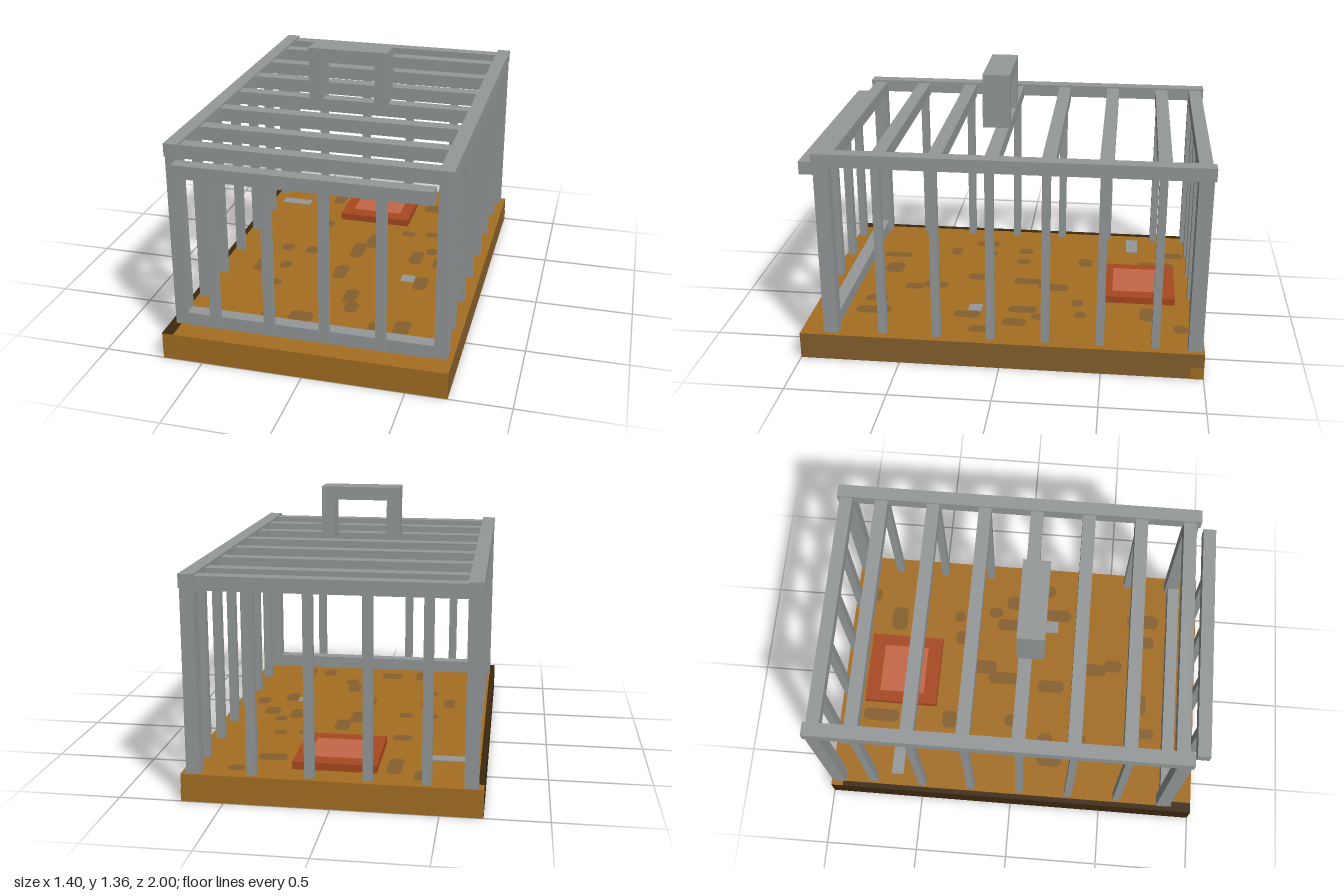
import * as THREE from 'three';

const mat = (name, color) => {
  const m = new THREE.MeshStandardMaterial({ color });
  m.name = name;
  return m;
};

export function createModel() {
  const root = new THREE.Group();
  root.name = 'cage';
  const metal = mat('greyMetal', 0x959999);
  const wood = mat('ochreWood', 0xa46e22);
  const brown = mat('brownWood', 0x86602d);
  const dark = mat('darkWood', 0x3c280e);
  const red = mat('redDish', 0xa8481f);
  const pale = mat('paleRedFood', 0xc56747);

  // Box given by its minimum and maximum on each axis
  const box = (name, material, x0, x1, y0, y1, z0, z1, parent = root) => {
    const mesh = new THREE.Mesh(new THREE.BoxGeometry(x1 - x0, y1 - y0, z1 - z0), material);
    mesh.position.set((x0 + x1) / 2, (y0 + y1) / 2, (z0 + z1) / 2);
    mesh.name = name;
    parent.add(mesh);
    return mesh;
  };
  const group = (name) => {
    const g = new THREE.Group();
    g.name = name;
    root.add(g);
    return g;
  };

  const F = 0.135; // floor height

  // Tray: side faces in different wood tones
  box('trayBase', [brown, dark, wood, dark, wood, wood], -0.7, 0.7, 0, F, -1, 1);
  box('trayDarkEdge', dark, -0.7, -0.673, F, F + 0.003, -0.935, 1);
  box('trayDarkCorner', dark, -0.673, -0.645, F, F + 0.003, 0.895, 1);
  box('traySidePatch', wood, 0.7, 0.702, 0, 0.06, -1, -0.935);

  // Floor litter: thin blotches with clipped corners [x, z, width, depth]
  const litter = group('floorLitter');
  const blotches = [
    [-0.41, -0.87, 0.07, 0.12], [-0.275, -0.77, 0.07, 0.2], [0.32, -0.73, 0.14, 0.09],
    [0.46, -0.89, 0.08, 0.07], [-0.27, -0.38, 0.1, 0.08], [0.23, -0.36, 0.08, 0.06],
    [0.36, -0.38, 0.07, 0.06], [-0.39, -0.03, 0.07, 0.08], [-0.25, -0.03, 0.07, 0.08],
    [0, -0.09, 0.07, 0.18], [0.06, -0.22, 0.08, 0.16], [0.33, -0.08, 0.07, 0.15],
    [0.47, -0.05, 0.08, 0.12], [0.4, -0.17, 0.06, 0.08], [-0.47, 0.2, 0.06, 0.14],
    [-0.34, 0.17, 0.06, 0.08], [-0.03, 0.18, 0.07, 0.15], [0.56, 0.12, 0.07, 0.1],
    [0.41, 0.2, 0.07, 0.14], [-0.35, 0.37, 0.1, 0.06], [0.09, 0.42, 0.07, 0.14],
    [0.12, 0.53, 0.07, 0.1], [-0.27, 0.7, 0.06, 0.16], [-0.1, 0.68, 0.12, 0.1],
    [0.28, 0.7, 0.07, 0.12], [0.41, 0.69, 0.08, 0.18],
  ];
  for (const [x, z, w, d] of blotches) {
    const a = w / 2, b = d / 2, c = 0.018;
    const s = new THREE.Shape([
      [-a + c, -b], [a - c, -b], [a, -b + c], [a, b - c],
      [a - c, b], [-a + c, b], [-a, b - c], [-a, -b + c],
    ].map(([u, v]) => new THREE.Vector2(u, v)));
    const m = new THREE.Mesh(new THREE.ShapeGeometry(s), brown);
    m.rotation.x = -Math.PI / 2;
    m.position.set(x, F + 0.002, z);
    m.name = 'litterBlotch';
    litter.add(m);
  }
  box('floorPlateLong', metal, -0.61, -0.44, F, F + 0.004, -0.67, -0.605);
  box('floorPlateSmall', metal, 0.3, 0.37, F, F + 0.004, 0.13, 0.2);

  // Food dish
  box('dish', red, -0.2, 0.2, F, 0.172, -0.868, -0.462);
  box('dishFood', pale, -0.14, 0.135, 0.172, 0.175, -0.79, -0.54);

  // Side frames: posts, top rail and bars, mirrored
  for (const s of [-1, 1]) {
    const g = group(s > 0 ? 'leftSide' : 'rightSide');
    const side = (name, i, o, y0, y1, z0, z1) =>
      box(name, metal, Math.min(s * i, s * o), Math.max(s * i, s * o), y0, y1, z0, z1, g);
    side('frontPost', 0.61, 0.675, F, 1.015, 0.81, 0.882);
    side('backPost', 0.61, 0.675, F, 1.015, -0.99, -0.92);
    side('topRail', 0.608, 0.677, 1.015, 1.08, -1, 0.89);
    for (let i = 0; i < 6; i++) {
      const z = 0.588 - i * 0.27;
      side('sideBar', 0.62, 0.662, F, 1.015, z - 0.02, z + 0.02);
    }
  }

  // Roof bars
  const roof = group('roof');
  for (const z of [0.832, 0.582, 0.312, 0.042, -0.228, -0.498, -0.768, -0.953])
    box('roofBar', metal, -0.61, 0.61, 1.003, 1.07, z - 0.033, z + 0.033, roof);

  // Back bars and the gate, which hangs just ahead of the front posts
  const back = group('backBars');
  const gate = group('gate');
  for (const x of [-0.44, -0.17, 0.1, 0.37]) {
    box('backBar', metal, x - 0.022, x + 0.022, F, 1.003, -0.975, -0.935, back);
    box('gateBar', metal, x - 0.022, x + 0.022, 0.18, 0.95, 0.922, 0.962, gate);
  }
  box('gateTopBar', metal, -0.61, 0.605, 0.948, 1.013, 0.908, 0.973, gate);
  box('frontSill', metal, -0.61, 0.61, F, 0.202, 0.825, 0.89);

  // Carry handle
  const handle = group('handle');
  box('handleGrip', metal, -0.203, 0.203, 1.288, 1.355, 0, 0.135, handle);
  for (const x of [-0.17, 0.17])
    box('handleLeg', metal, x - 0.033, x + 0.033, 1.083, 1.288, 0, 0.135, handle);

  return root;
}
